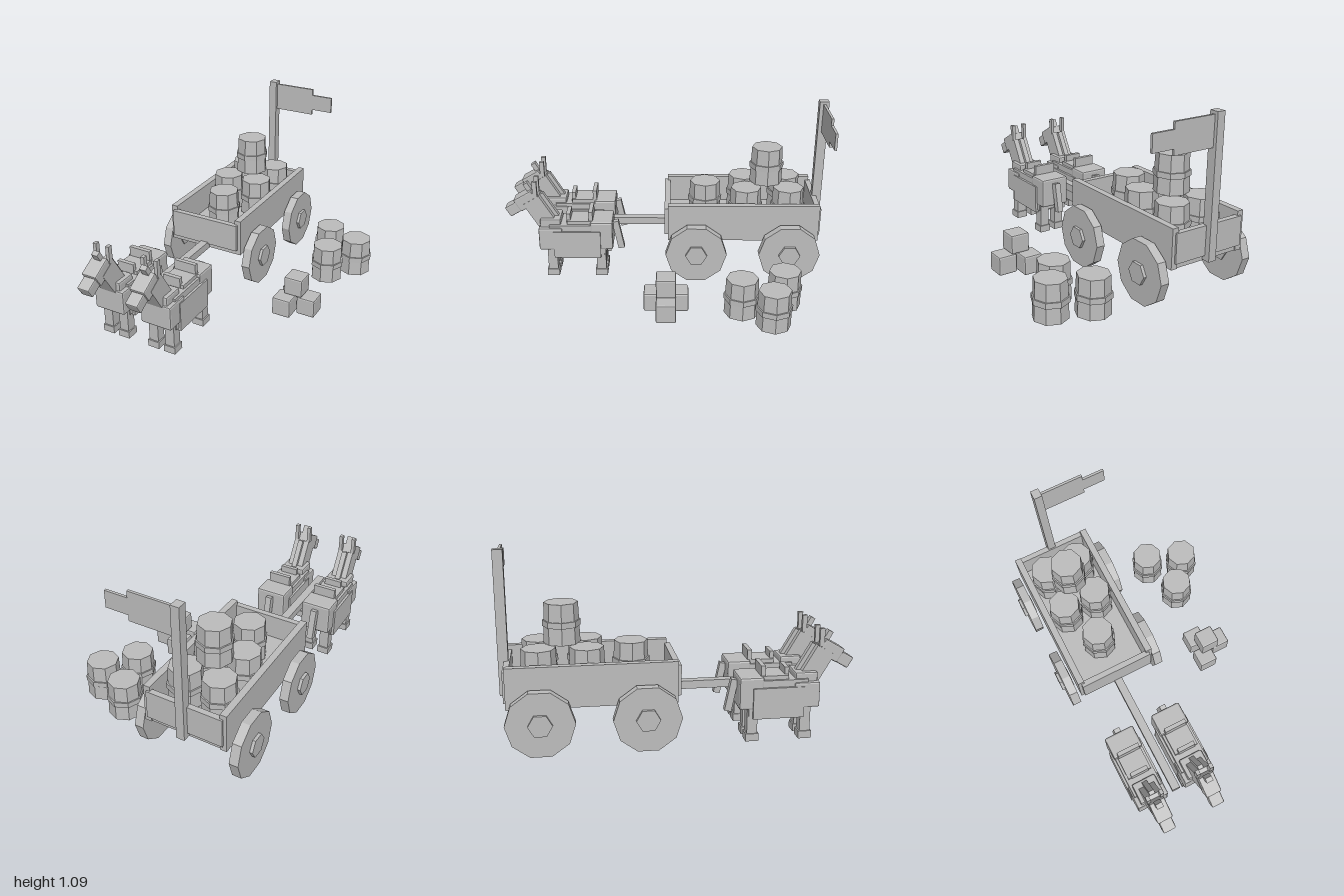
import * as THREE from 'three';
import { RoundedBoxGeometry } from 'three/addons/geometries/RoundedBoxGeometry.js';

const CX = -0.284; // centre line of the wagon

export function createModel() {
  const root = new THREE.Group();
  root.name = 'wagonScene';
  const grey = new THREE.MeshStandardMaterial({ color: 0xbcbcbc });
  grey.name = 'plain grey';
  grey.flatShading = true;

  const group = (parent, name, x = 0, y = 0, z = 0) => {
    const g = new THREE.Group();
    g.name = name;
    g.position.set(x, y, z);
    parent.add(g);
    return g;
  };
  const put = (parent, name, geo, x, y, z, tilt = 0) => {
    const m = new THREE.Mesh(geo, grey);
    m.name = name;
    m.position.set(x, y, z);
    m.rotation.x = tilt;
    parent.add(m);
    return m;
  };
  // Box given by its ranges along each axis
  const box = (parent, name, [x0, x1], [y0, y1], [z0, z1], bevel = 0) => {
    const s = [x1 - x0, y1 - y0, z1 - z0];
    const geo = bevel ? new RoundedBoxGeometry(...s, 1, bevel) : new THREE.BoxGeometry(...s);
    return put(parent, name, geo, (x0 + x1) / 2, (y0 + y1) / 2, (z0 + z1) / 2);
  };

  // Wagon bed
  const wagon = group(root, 'wagon', CX);
  box(wagon, 'floor', [-0.235, 0.235], [0.257, 0.32], [-0.95, -0.02]);
  for (const s of [-1, 1]) {
    const x = [s * 0.21, s * 0.25].sort((a, b) => a - b);
    box(wagon, 'sideBoard', x, [0.257, 0.492], [-0.957, -0.02]);
  }
  box(wagon, 'frontBoard', [-0.23, 0.23], [0.29, 0.465], [-0.035, 0]);
  box(wagon, 'rearBoard', [-0.23, 0.23], [0.29, 0.465], [-0.968, -0.935]);
  box(wagon, 'drawbar', [-0.025, 0.025], [0.253, 0.3], [-0.03, 0.78]);

  // Ten-sided wheels with hexagonal hubs
  const rim = new THREE.CylinderGeometry(0.19, 0.19, 0.054, 10).rotateY(Math.PI / 2).rotateZ(Math.PI / 2);
  const hub = new THREE.CylinderGeometry(0.067, 0.067, 0.08, 6).rotateZ(Math.PI / 2);
  rim.rotateX(Math.PI / 2);
  for (const z of [-0.196, -0.775]) {
    for (const s of [-1, 1]) {
      const wheel = group(wagon, 'wheel', s * 0.293, 0.19, z);
      put(wheel, 'rim', rim, 0, 0, 0);
      put(wheel, 'hub', hub, s * 0.005, 0, 0);
    }
  }

  // Flag on its post
  const flag = group(root, 'flag');
  box(flag, 'flagPost', [-0.307, -0.257], [0.262, 1.09], [-1, -0.943]);
  box(flag, 'flagCloth', [-0.257, 0.005], [0.897, 1.073], [-0.98, -0.965]);
  box(flag, 'flagTail', [0.005, 0.143], [0.932, 1.033], [-0.98, -0.965]);

  // Eight-sided barrels
  const stave = new THREE.CylinderGeometry(0.095, 0.103, 0.23, 8);
  const hoop = new THREE.CylinderGeometry(0.107, 0.107, 0.034, 8);
  const barrels = [
    [0.29, 0, -0.715], [0.507, 0, -0.63], [0.378, 0, -0.455],
    [-0.389, 0.328, -0.775], [-0.181, 0.328, -0.775],
    [-0.389, 0.328, -0.51], [-0.181, 0.328, -0.51],
    [CX, 0.328, -0.257], [CX, 0.56, -0.643],
  ];
  for (const p of barrels) {
    const barrel = group(root, 'barrel', ...p);
    put(barrel, 'barrelBody', stave, 0, 0.115, 0);
    put(barrel, 'barrelHoop', hoop, 0, 0.113, 0);
  }

  // Stacked crates
  const crate = new RoundedBoxGeometry(0.118, 0.118, 0.118, 1, 0.01);
  for (const p of [[0.32, 0.059, -0.084], [0.32, 0.059, 0.063], [0.449, 0.059, -0.01], [0.364, 0.177, -0.01]]) {
    put(root, 'crate', crate, ...p);
  }

  // Pair of draught horses
  for (const side of [-1, 1]) {
    const horse = group(root, 'horse', CX + side * 0.158);
    box(horse, 'trunk', [-0.09, 0.09], [0.15, 0.355], [0.38, 0.72]);
    box(horse, 'blanket', [-0.105, 0.105], [0.135, 0.315], [0.402, 0.695]);
    box(horse, 'chest', [-0.1, 0.1], [0.188, 0.338], [0.64, 0.788], 0.01);
    box(horse, 'shoulders', [-0.075, 0.075], [0.28, 0.39], [0.65, 0.778], 0.01);
    box(horse, 'haunch', [-0.095, 0.095], [0.188, 0.377], [0.325, 0.465], 0.012);
    box(horse, 'saddle', [-0.075, 0.075], [0.345, 0.378], [0.45, 0.61]);
    box(horse, 'saddleFront', [-0.055, 0.055], [0.36, 0.42], [0.59, 0.615]);
    box(horse, 'saddleBack', [-0.07, 0.07], [0.36, 0.438], [0.45, 0.475]);

    // Legs and hooves
    for (const s of [-1, 1]) {
      for (const z of [0.71, 0.402]) {
        const x = s * 0.054;
        box(horse, 'leg', [x - 0.03, x + 0.03], [0.04, 0.22], [z - 0.03, z + 0.03]);
        box(horse, 'hoof', [x - 0.037, x + 0.037], [0, 0.044], [z - 0.038, z + 0.038]);
      }
    }

    // Neck, head and tail
    put(horse, 'neck', new THREE.BoxGeometry(0.1, 0.215, 0.115), 0, 0.417, 0.775, 0.53);
    put(horse, 'mane', new THREE.BoxGeometry(0.032, 0.2, 0.03), 0, 0.452, 0.72, 0.53);
    put(horse, 'head', new RoundedBoxGeometry(0.096, 0.09, 0.13, 1, 0.008), 0, 0.5, 0.862, 0.53);
    put(horse, 'muzzle', new RoundedBoxGeometry(0.078, 0.07, 0.094, 1, 0.008), 0, 0.444, 0.94, 0.53);
    put(horse, 'forelock', new THREE.BoxGeometry(0.04, 0.055, 0.03), 0, 0.585, 0.85, 0.53);
    for (const s of [-1, 1]) {
      box(horse, 'ear', [s * 0.042 - 0.011, s * 0.042 + 0.011], [0.53, 0.635], [0.788, 0.816]);
    }
    put(horse, 'tail', new THREE.BoxGeometry(0.038, 0.19, 0.04), 0, 0.254, 0.294, 0.2);
  }
  return root;
}
